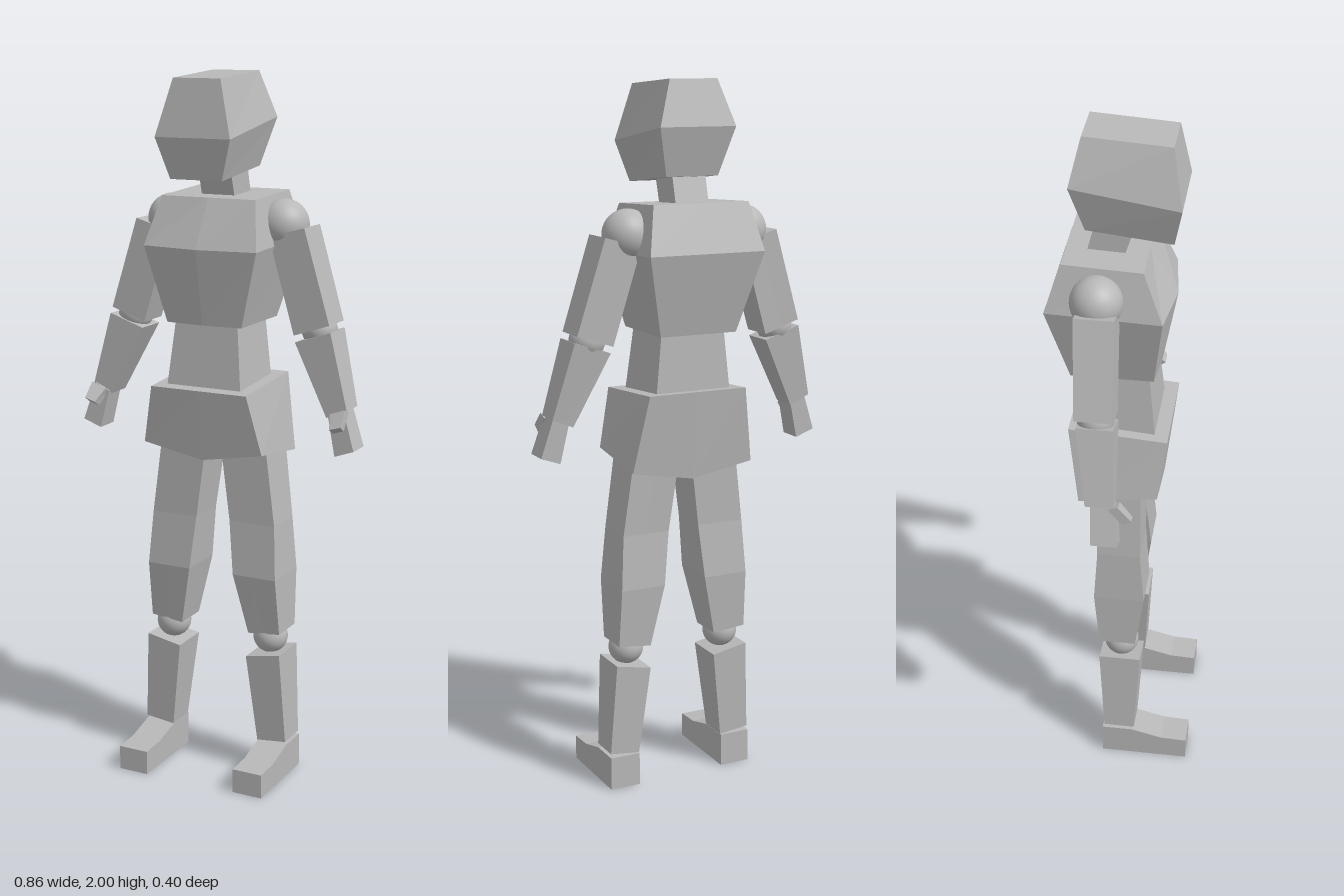
import * as THREE from 'three';

const grey = new THREE.MeshStandardMaterial({ color: 0xb8b8b8 });
grey.name = 'plain grey';

// Faceted block through rings listed from bottom to top. Each ring is
// [y, x0, x1, zBack, zFront, tiltX, tiltZ, frontBulge, centreDrop];
// tiltX raises the x1 side, tiltZ raises the back. side = -1 mirrors it.
function block(name, rings, side = 1) {
  const loops = rings.map(([y, a, b, zb, zf, tx = 0, tz = 0, bulge = 0, drop = 0]) => {
    const [x0, x1, t] = side > 0 ? [a, b, tx] : [-b, -a, -tx];
    const m = (x0 + x1) / 2, lo = y - t / 2, hi = y + t / 2, h = tz / 2;
    return [
      [x0, lo - h, zf], [m, y - h - drop, zf + bulge], [x1, hi - h, zf],
      [x1, hi + h, zb], [m, y + h - drop, zb], [x0, lo + h, zb],
    ];
  });
  const pos = [];
  const quad = (a, b, c, d) => [a, b, c, a, c, d].forEach((p) => pos.push(...p));
  for (let k = 0; k < loops.length - 1; k++) {
    const l = loops[k], u = loops[k + 1];
    for (let i = 0; i < 6; i++) {
      const j = (i + 1) % 6;
      quad(l[i], l[j], u[j], u[i]);
    }
  }
  const b = loops[0], t = loops[loops.length - 1];
  quad(t[0], t[1], t[4], t[5]);
  quad(t[1], t[2], t[3], t[4]);
  quad(b[5], b[4], b[1], b[0]);
  quad(b[4], b[3], b[2], b[1]);
  const geo = new THREE.BufferGeometry();
  geo.setAttribute('position', new THREE.Float32BufferAttribute(pos, 3));
  geo.computeVertexNormals();
  const mesh = new THREE.Mesh(geo, grey);
  mesh.name = name;
  return mesh;
}

function ball(name, r, x, y, z) {
  const mesh = new THREE.Mesh(new THREE.SphereGeometry(r, 32, 20), grey);
  mesh.name = name;
  mesh.position.set(x, y, z);
  return mesh;
}

function arm(side) {
  const g = new THREE.Group();
  g.name = side > 0 ? 'leftArm' : 'rightArm';
  g.add(
    ball('shoulder', 0.07, side * 0.174, 1.59, -0.063),
    block('upperArm', [
      [1.313, 0.235, 0.34, -0.1, 0, 0.035],
      [1.575, 0.155, 0.26, -0.11, -0.005, 0.03],
    ], side),
    ball('elbow', 0.05, side * 0.29, 1.31, -0.05),
    block('forearm', [
      [1.09, 0.34, 0.4, -0.065, 0.01, 0.025],
      [1.295, 0.24, 0.345, -0.095, 0.003, 0.035],
    ], side),
    block('hand', [
      [0.985, 0.372, 0.428, -0.048, 0.024, 0.02],
      [1.095, 0.347, 0.392, -0.052, 0.015, 0.02],
    ], side),
    block('thumb', [
      [1.055, 0.37, 0.403, 0.035, 0.058, 0.01, -0.015],
      [1.095, 0.355, 0.4, -0.005, 0.022, 0.015, -0.01],
    ], side),
  );
  return g;
}

// Side outline of the foot, extruded across its width
function foot(side) {
  const s = new THREE.Shape();
  [[-0.06, 0], [0.195, 0], [0.195, 0.07], [0.12, 0.073], [0.03, 0.096], [-0.06, 0.096]]
    .forEach(([z, y], i) => (i ? s.lineTo(-z, y) : s.moveTo(-z, y)));
  const geo = new THREE.ExtrudeGeometry(s, { depth: 0.09, bevelEnabled: false });
  geo.translate(0, 0, -0.045);
  geo.rotateY(Math.PI / 2);
  const mesh = new THREE.Mesh(geo, grey);
  mesh.name = 'foot';
  mesh.position.set(side * 0.1815, 0, 0);
  return mesh;
}

function leg(side) {
  const g = new THREE.Group();
  g.name = side > 0 ? 'leftLeg' : 'rightLeg';
  g.add(
    block('thigh', [
      [0.427, 0.105, 0.203, -0.07, 0.035, 0.01],
      [0.6, 0.067, 0.2, -0.085, 0.06],
      [0.755, 0.05, 0.19, -0.075, 0.047],
      [0.975, 0.022, 0.16, -0.085, 0.045, 0.02],
    ], side),
    ball('knee', 0.05, side * 0.155, 0.41, -0.01),
    block('shin', [
      [0.102, 0.136, 0.225, -0.055, 0.035, 0.01],
      [0.365, 0.105, 0.21, -0.07, 0.05, 0.02],
    ], side),
    foot(side),
  );
  // slight uneven stance
  g.position.set(0.01, 0, side * -0.006);
  return g;
}

export function createModel() {
  const model = new THREE.Group();
  model.name = 'jointedFigure';
  model.add(
    block('head', [
      [1.73, -0.078, 0.078, -0.105, 0.125, 0, 0.025],
      [1.852, -0.113, 0.113, -0.142, 0.147, 0, 0.045],
      [1.992, -0.071, 0.071, -0.112, 0.12, 0, 0.015],
    ]),
    block('neck', [
      [1.65, -0.05, 0.05, -0.11, -0.01],
      [1.75, -0.05, 0.05, -0.083, 0.022],
    ]),
    block('chest', [
      [1.318, -0.115, 0.115, -0.145, 0.08, 0, 0, 0.01],
      [1.537, -0.172, 0.172, -0.202, 0.108, 0, 0.012, 0.022],
      [1.67, -0.143, 0.143, -0.16, 0.055, 0, 0.01],
    ]),
    block('waist', [
      [1.13, -0.115, 0.115, -0.115, 0.085],
      [1.33, -0.095, 0.095, -0.11, 0.065],
    ]),
    block('pelvis', [
      [0.957, -0.18, 0.188, -0.12, 0.1, 0, -0.03, 0, 0.033],
      [1.15, -0.145, 0.15, -0.15, 0.122, 0, 0.02],
    ]),
  );
  for (const side of [1, -1]) model.add(arm(side), leg(side));
  return model;
}
